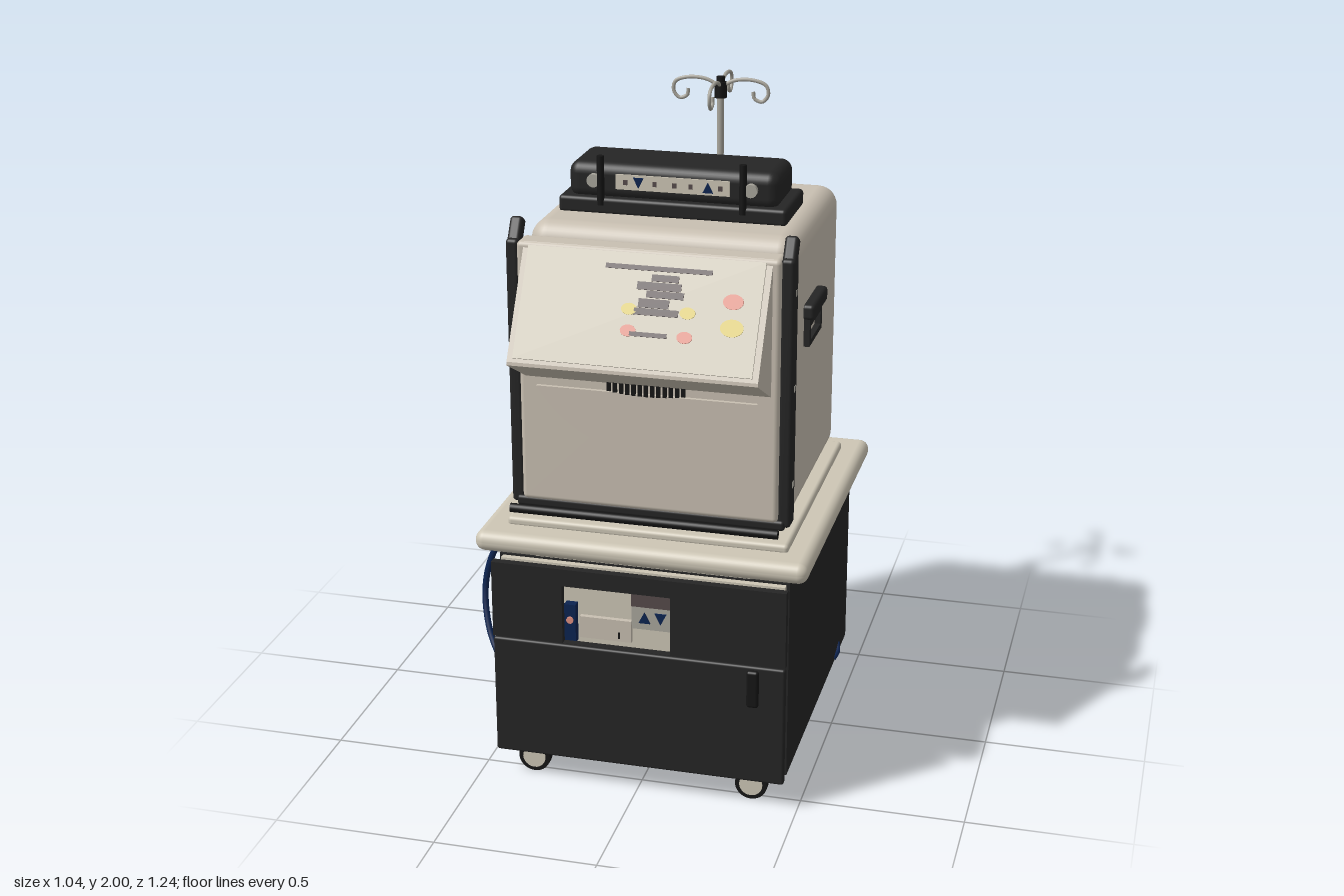
import * as THREE from 'three';
import { RoundedBoxGeometry } from 'three/addons/geometries/RoundedBoxGeometry.js';

const flat = (name, color) => {
  const m = new THREE.MeshStandardMaterial({ color });
  m.name = name;
  return m;
};
const V = (x, y, z) => new THREE.Vector3(x, y, z);

export function createModel() {
  const shell = flat('warm beige', 0xc8bfb1);
  const trim = flat('light beige', 0xcdc6b5);
  const dark = flat('charcoal', 0x252525);
  const black = flat('black', 0x151515);
  const metal = flat('steel', 0xa9a69c);
  const blue = flat('navy blue', 0x0b2350);
  const red = flat('soft red', 0xdf8f80);
  const yellow = flat('soft yellow', 0xdccb6c);
  const print = flat('brown grey', 0x564a4a);

  const model = new THREE.Group();
  model.name = 'medicalCart';

  const add = (name, geo, mat, parent = model) => {
    const mesh = new THREE.Mesh(geo, mat);
    mesh.name = name;
    parent.add(mesh);
    return mesh;
  };
  // Box given by its limits on each axis, rounded when r > 0
  const box = (name, mat, [x0, x1], [y0, y1], [z0, z1], r = 0, parent = model) => {
    const s = [x1 - x0, y1 - y0, z1 - z0];
    const geo = r ? new RoundedBoxGeometry(...s, 4, r) : new THREE.BoxGeometry(...s);
    const mesh = add(name, geo, mat, parent);
    mesh.position.set((x0 + x1) / 2, (y0 + y1) / 2, (z0 + z1) / 2);
    return mesh;
  };
  const rod = (name, mat, r, len, pos, axis = 'y', parent = model, rTop = r) => {
    const geo = new THREE.CylinderGeometry(rTop, r, len, 24);
    if (axis === 'x') geo.rotateZ(Math.PI / 2);
    if (axis === 'z') geo.rotateX(Math.PI / 2);
    const mesh = add(name, geo, mat, parent);
    mesh.position.set(...pos);
    return mesh;
  };
  const tube = (name, mat, r, pts, parent = model) => add(name,
    new THREE.TubeGeometry(new THREE.CatmullRomCurve3(pts.map(p => V(...p))), 40, r, 8), mat, parent);
  const rect = (Type, x0, x1, y0, y1) => {
    const p = new Type();
    p.moveTo(x0, y0); p.lineTo(x1, y0); p.lineTo(x1, y1); p.lineTo(x0, y1); p.closePath();
    return p;
  };
  const extrude = (shape, depth) =>
    new THREE.ExtrudeGeometry(shape, { depth, bevelEnabled: false, curveSegments: 32 });
  const triangle = (s, dir) => extrude(new THREE.Shape(
    [[-s, -s * dir], [s, -s * dir], [0, s * dir]].map(p => new THREE.Vector2(...p))), 0.004);

  // Cabinet, its front frame and worktop
  box('cabinet', dark, [-0.44, 0.455], [0.085, 0.725], [-0.475, 0.505]);
  box('cabinetFrontFrame', trim, [-0.43, 0.445], [0.1, 0.72], [0.505, 0.525]);
  box('worktopSupport', trim, [-0.33, 0.335], [0.72, 0.745], [-0.42, 0.5]);
  box('worktop', trim, [-0.505, 0.515], [0.743, 0.807], [-0.495, 0.558], 0.03);
  box('bodyPlinth', trim, [-0.425, 0.44], [0.8, 0.83], [-0.39, 0.47], 0.012);

  // Cabinet doors with a window in the upper one
  const upper = rect(THREE.Shape, -0.445, 0.46, 0.48, 0.725);
  upper.holes.push(rect(THREE.Path, -0.225, 0.11, 0.481, 0.67));
  add('upperDoor', extrude(upper, 0.025), dark).position.z = 0.55;
  box('lowerDoor', dark, [-0.445, 0.46], [0.088, 0.475], [0.55, 0.575], 0.008);
  box('doorHandle', black, [0.345, 0.382], [0.345, 0.465], [0.57, 0.59], 0.009);
  for (const y of [0.18, 0.4, 0.64]) box('doorHinge', dark, [-0.42, -0.39], [y, y + 0.04], [0.52, 0.555]);
  box('hingeSide', dark, [0.4, 0.44], [0.5, 0.7], [0.52, 0.555]);

  // Equipment behind the window
  box('windowBin', shell, [-0.18, -0.02], [0.49, 0.56], [0.52, 0.54]);
  box('binSlot', black, [-0.06, -0.055], [0.5, 0.52], [0.54, 0.542]);
  box('blueModule', blue, [-0.225, -0.19], [0.475, 0.6], [0.525, 0.552]);
  rod('moduleKnob', red, 0.011, 0.006, [-0.207, 0.55, 0.554], 'z');
  box('controlUnit', metal, [-0.015, 0.108], [0.545, 0.668], [0.525, 0.55]);
  box('controlScreen', print, [-0.015, 0.108], [0.62, 0.668], [0.55, 0.555]);
  [[0.025, 1], [0.075, -1]].forEach(([x, d]) =>
    add('arrowButton', triangle(0.018, d), blue).position.set(x, 0.585, 0.551));

  // Castors
  for (const x of [-0.34, 0.35]) for (const [z, s] of [[0.512, 1], [-0.45, -1]]) {
    rod('castorWheel', black, 0.05, 0.027, [x, 0.05, z], 'z');
    rod('castorHub', s > 0 ? trim : dark, 0.036, 0.006, [x, 0.05, z + s * 0.0145], 'z');
    box('castorFork', black, [x - 0.025, x + 0.025], [0.06, 0.1], [z - 0.025, z - 0.002]);
  }
  box('floorStop', black, [-0.035, 0.04], [0.07, 0.09], [0.48, 0.52], 0.008);

  // Main body, seal and front door
  box('mainBody', shell, [-0.4, 0.415], [0.83, 1.705], [-0.375, 0.293], 0.06);
  box('doorSeal', dark, [-0.385, 0.4], [0.88, 1.66], [0.27, 0.328], 0.012);
  box('frontDoor', shell, [-0.39, 0.397], [0.875, 1.685], [0.345, 0.425], 0.015);
  box('doorSill', dark, [-0.41, 0.417], [0.85, 0.882], [0.345, 0.42], 0.01);
  rod('sillBar', black, 0.014, 0.82, [0.003, 0.87, 0.487], 'x');
  for (const s of [-1, 1]) {
    const x = 0.003 + s * 0.41;
    box('doorRail', dark, [x - 0.02, x + 0.02], [0.858, 1.685], [0.347, 0.413], 0.012);
    const hook = box('railHook', dark, [x - 0.02, x + 0.02], [1.65, 1.74], [0.345, 0.385], 0.012);
    hook.rotation.set(-0.55, 0, 0);
    for (const y of [0.98, 1.28, 1.57])
      box('railStud', metal, [x + s * 0.018 - 0.003, x + s * 0.018 + 0.003], [y, y + 0.018], [0.37, 0.39]);
    for (const y of [1.2, 1.55])
      box('sealStud', metal, [x - s * 0.022 - 0.004, x - s * 0.022 + 0.004], [y, y + 0.018], [0.3, 0.315]);
  }

  // Rounded apron with a vent comb below the control console
  const apron = new THREE.Shape();
  apron.absarc(0, 1.45, 0.39, -Math.PI + 0.54, -0.54, false);
  apron.closePath();
  add('doorApron', extrude(apron, 0.012), shell).position.z = 0.425;
  for (let i = 0; i < 13; i++) {
    const x = -0.11 + i * 0.0188, y = 1.245 + 0.7 * x * x;
    box('ventTooth', black, [x - 0.006, x + 0.006], [y, y + 0.045], [0.435, 0.442]);
  }

  // Wedge console
  const wedge = new THREE.Shape([[0.415, 1.685], [0.415, 1.28], [0.43, 1.275], [0.605, 1.368], [0.603, 1.378]]
    .map(p => new THREE.Vector2(...p)));
  add('console', extrude(wedge, 0.74).rotateY(-Math.PI / 2), shell).position.x = 0.373;
  const face = new THREE.Group();
  face.name = 'consoleFace';
  face.position.set(0, 1.531, 0.509);
  face.rotation.x = -0.545;
  model.add(face);
  box('facePlate', trim, [-0.35, 0.355], [-0.168, 0.168], [-0.002, 0.007], 0, face);
  // Printed bars: x limits and y limits on the face
  [[-0.11, 0.205, 0.118, 0.132], [0.03, 0.11, 0.088, 0.108], [-0.01, 0.12, 0.062, 0.085],
    [0.02, 0.13, 0.04, 0.06], [0, 0.09, 0.01, 0.036], [-0.01, 0.12, -0.012, 0.008],
    [-0.015, 0.095, -0.075, -0.062]].forEach(([x0, x1, y0, y1]) =>
    box('printedBar', print, [x0, x1], [y0, y1], [0.006, 0.01], 0, face));
  [[0.275, 0.046, red, 0.03], [-0.02, -0.06, red, 0.023], [0.147, -0.068, red, 0.023],
    [0.28, -0.03, yellow, 0.034], [-0.025, 0.003, yellow, 0.023], [0.147, 0.003, yellow, 0.023]]
    .forEach(([x, y, mat, r]) => {
      rod('touchButton', mat, r, 0.006, [x, y, 0.007], 'z', face).scale.y = 0.75;
    });

  // Unit on the roof
  box('roofUnitBase', dark, [-0.345, 0.352], [1.7, 1.752], [-0.11, 0.148], 0.012);
  box('roofUnit', dark, [-0.32, 0.325], [1.74, 1.853], [-0.09, 0.13], 0.035);
  box('roofUnitPanel', trim, [-0.17, 0.178], [1.778, 1.824], [0.126, 0.134]);
  for (const [x, d] of [[-0.1, -1], [0.112, 1]])
    add('panelArrow', triangle(0.016, d), blue).position.set(x, 1.801, 0.133);
  for (const x of [-0.14, -0.05, 0.01, 0.06, 0.15])
    box('panelKey', print, [x - 0.006, x + 0.006], [1.793, 1.808], [0.133, 0.137]);
  for (const s of [-1, 1]) {
    rod('roofKnob', metal, 0.02, 0.02, [0.003 + s * 0.24, 1.802, 0.137], 'z');
    rod('roofPost', black, 0.011, 0.15, [0.003 + s * 0.217, 1.805, 0.143]);
  }

  // Side carrying handles
  for (const s of [-1, 1]) {
    const frame = rect(THREE.Shape, -0.02, 0.17, 1.345, 1.47);
    frame.holes.push(rect(THREE.Path, 0, 0.15, 1.362, 1.405));
    const x = s > 0 ? 0.433 : -0.396;
    add('handleFrame', extrude(frame, 0.022).rotateY(-Math.PI / 2), dark).position.x = x;
    box('handleGrip', dark, s > 0 ? [0.41, 0.448] : [-0.436, -0.395], [1.43, 1.477], [-0.03, 0.18], 0.012);
  }

  // Rear service panel
  box('rearPanel', shell, [-0.33, 0.333], [1.02, 1.645], [-0.396, -0.37], 0.006);
  box('rearCover', shell, [-0.235, 0.25], [1.19, 1.4], [-0.455, -0.39], 0.025);
  for (const s of [-1, 1]) {
    for (let i = 0; i < 8; i++) for (let j = 0; j < 8; j++) {
      const x = s * (0.1 + i * 0.023), y = 1.44 + j * 0.021;
      box('ventHole', black, [x - 0.007, x + 0.007], [y, y + 0.013], [-0.399, -0.392]);
    }
    for (const y of [1.05, 1.34, 1.61])
      rod('panelScrew', black, 0.008, 0.006, [s * 0.305, y, -0.397], 'z');
  }
  for (const y of [1.46, 1.51, 1.56])
    box('ventLouvre', shell, [-0.055, 0.06], [y, y + 0.022], [-0.41, -0.39], 0.008);
  box('powerSocket', black, [-0.07, 0], [1.04, 1.105], [-0.42, -0.39]);
  box('powerSwitch', black, [-0.145, -0.085], [1.04, 1.105], [-0.403, -0.39]);
  box('switchRocker', metal, [-0.128, -0.102], [1.055, 1.09], [-0.408, -0.4]);
  box('powerPlug', black, [-0.055, -0.012], [1.05, 1.095], [-0.46, -0.41], 0.008);
  tube('powerCable', black, 0.01, [[-0.035, 1.07, -0.45], [0.01, 1.03, -0.475], [0.06, 0.92, -0.515],
    [0.13, 0.8, -0.535], [0.22, 0.58, -0.562]]);
  const joint = rod('cableJoint', trim, 0.016, 0.05, [0.065, 0.905, -0.518]);
  joint.rotation.z = 0.45;

  // Drip stand with four curled hooks
  rod('dripPole', metal, 0.011, 1.02, [0.005, 1.465, -0.472]);
  for (const y of [1.06, 1.6]) box('poleClamp', metal, [-0.012, 0.022], [y, y + 0.025], [-0.475, -0.39]);
  rod('poleCollar', black, 0.02, 0.05, [0.005, 1.955, -0.472]);
  rod('poleCap', black, 0.014, 0.025, [0.005, 1.985, -0.472]);
  for (let i = 0; i < 4; i++) {
    const hook = tube('dripHook', metal, 0.006, [[0, 1.965, 0], [0.05, 1.988, 0], [0.11, 1.99, 0],
      [0.148, 1.975, 0], [0.154, 1.945, 0], [0.135, 1.923, 0], [0.11, 1.932, 0], [0.106, 1.955, 0]]);
    hook.position.set(0.005, 0, -0.472);
    hook.rotation.y = i * Math.PI / 2;
  }

  // Rear canister, bracket and hoses
  box('canisterBracket', dark, [-0.355, -0.085], [0.48, 0.54], [-0.508, -0.47], 0.006);
  for (const x of [-0.32, -0.12]) rod('bracketScrew', metal, 0.01, 0.006, [x, 0.51, -0.51], 'z');
  rod('canister', trim, 0.042, 0.3, [-0.25, 0.34, -0.52]);
  for (const y of [0.2, 0.485]) rod('canisterCap', trim, 0.046, 0.04, [-0.25, y, -0.52]);
  rod('canisterNozzle', metal, 0.02, 0.03, [-0.25, 0.17, -0.52]);
  tube('canisterHose', blue, 0.009, [[-0.3, 0.47, -0.5], [-0.36, 0.45, -0.53], [-0.4, 0.36, -0.54],
    [-0.37, 0.25, -0.55], [-0.3, 0.23, -0.55], [-0.27, 0.27, -0.555]]);
  tube('rearHose', blue, 0.009, [[0.42, 0.19, -0.475], [0.36, 0.26, -0.485], [0.28, 0.33, -0.475]]);
  tube('sideHose', blue, 0.009, [[0.45, 0.09, -0.27], [0.458, 0.1, -0.31], [0.45, 0.115, -0.35]]);
  tube('frontHose', blue, 0.01, [[-0.445, 0.76, 0.42], [-0.49, 0.68, 0.43], [-0.513, 0.57, 0.44],
    [-0.49, 0.45, 0.48], [-0.43, 0.35, 0.53]]);

  return model;
}
